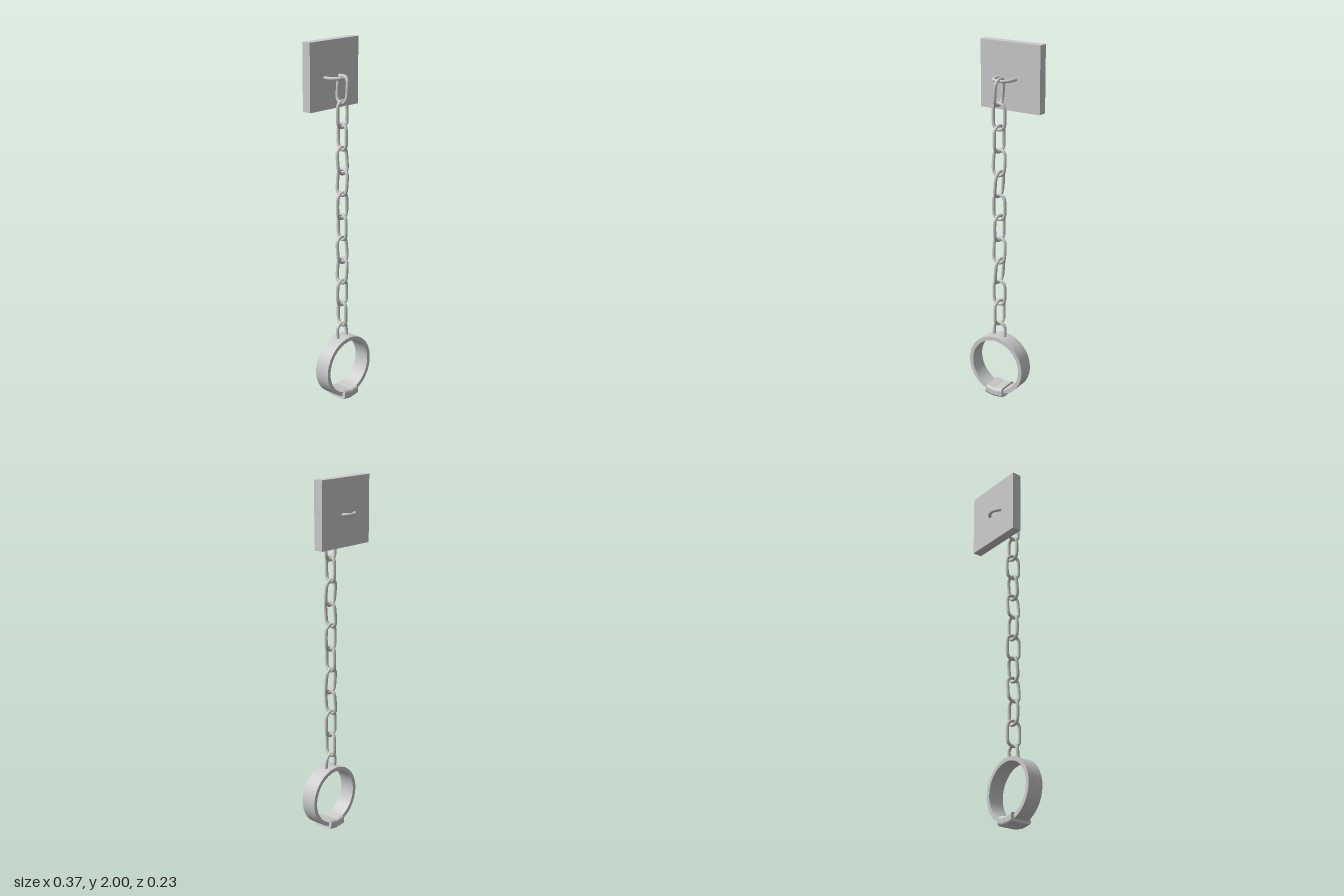
import * as THREE from 'three';

const material = new THREE.MeshStandardMaterial({ color: 0xcccccc });
const WIRE = 0.009;
const CHAIN_X = -0.018, CHAIN_Z = 0.044;

function part(name, geometry, parent) {
  const mesh = new THREE.Mesh(geometry, material);
  mesh.name = name;
  parent.add(mesh);
  return mesh;
}

// Closed oval wire in the XY plane, long axis along y
function ovalGeometry(halfWidth, halfHeight) {
  const points = [];
  const straight = halfHeight - halfWidth;
  for (const side of [1, -1]) {
    for (let i = 0; i <= 8; i++) {
      const a = (i / 8) * Math.PI;
      points.push(new THREE.Vector3(
        side * Math.cos(a) * halfWidth,
        side * (straight + Math.sin(a) * halfWidth), 0));
    }
  }
  const curve = new THREE.CatmullRomCurve3(points, true);
  return new THREE.TubeGeometry(curve, 48, WIRE, 10, true);
}

// Rounded rectangle outline, used as the clasp's section
function roundedRect(w, h, r) {
  const s = new THREE.Shape();
  s.absarc(w / 2 - r, h / 2 - r, r, 0, Math.PI / 2);
  s.absarc(-w / 2 + r, h / 2 - r, r, Math.PI / 2, Math.PI);
  s.absarc(-w / 2 + r, -h / 2 + r, r, Math.PI, Math.PI * 1.5);
  s.absarc(w / 2 - r, -h / 2 + r, r, Math.PI * 1.5, Math.PI * 2);
  s.closePath();
  return s;
}

export function createModel() {
  const model = new THREE.Group();
  model.name = 'wallShackle';

  // Wall plate
  part('wallPlate', new THREE.BoxGeometry(0.366, 0.362, 0.053), model)
    .position.set(0.002, 1.819, -0.0565);

  // Oval loop lying flat through the plate
  const loop = part('wallLoop', ovalGeometry(0.054, 0.08), model);
  loop.rotation.x = Math.PI / 2;
  loop.position.set(CHAIN_X, 1.808, -0.029);

  // Chain: links alternate between side-on and front-on, hanging loosely
  const chain = new THREE.Group();
  chain.name = 'chain';
  model.add(chain);
  const linkGeometry = ovalGeometry(0.035, 0.071);
  for (let i = 0; i < 11; i++) {
    const holder = new THREE.Group();
    holder.name = 'chainLink';
    const sideOn = i % 2 === 0;
    const leaning = sideOn ? i % 4 === 0 : i % 4 === 3;
    const link = part('linkWire', linkGeometry, holder);
    link.rotation.y = sideOn ? Math.PI / 2 - (leaning ? 0.05 : 0.2) : 0;
    if (leaning) holder.rotation[sideOn ? 'z' : 'x'] = -0.09;
    holder.position.set(CHAIN_X, 1.749 - i * 0.1246 - (sideOn ? 0 : 0.005), CHAIN_Z);
    chain.add(holder);
  }

  // Last link is a half loop set into the cuff
  const halfPoints = [new THREE.Vector3(-0.035, -0.055, 0.006)];
  for (let i = 0; i <= 8; i++) {
    const a = Math.PI - (i / 8) * Math.PI;
    halfPoints.push(new THREE.Vector3(Math.cos(a) * 0.035, Math.sin(a) * 0.035, 0));
  }
  halfPoints.push(new THREE.Vector3(0.035, -0.055, 0.006));
  part('cuffLink', new THREE.TubeGeometry(new THREE.CatmullRomCurve3(halfPoints), 32, WIRE, 10), chain)
    .position.set(CHAIN_X, 0.404, CHAIN_Z - 0.002);

  // Cuff band and its clasp share one centre
  const cuff = new THREE.Group();
  cuff.name = 'cuff';
  cuff.position.set(-0.0135, 0.193, 0.05);
  model.add(cuff);

  const ring = new THREE.Shape();
  ring.absarc(0, 0, 0.173, 0, Math.PI * 2);
  const hole = new THREE.Path();
  hole.absarc(0, 0, 0.151, 0, Math.PI * 2, true);
  ring.holes.push(hole);
  const band = new THREE.ExtrudeGeometry(ring, { depth: 0.09, bevelEnabled: false, curveSegments: 32 });
  part('cuffBand', band.translate(0, 0, -0.045), cuff);

  // Two rounded clasp blocks meeting at the bottom of the cuff
  const block = new THREE.ExtrudeGeometry(roundedRect(0.127, 0.052, 0.017),
    { depth: 0.055, bevelEnabled: false, curveSegments: 5 });
  block.translate(0, 0, -0.0275).rotateY(Math.PI / 2);
  for (const side of [-1, 1]) {
    const pivot = new THREE.Group();
    pivot.name = 'clasp';
    pivot.rotation.z = side * 0.167;
    part('claspBlock', block, pivot).position.y = -0.163;
    cuff.add(pivot);
  }

  return model;
}
